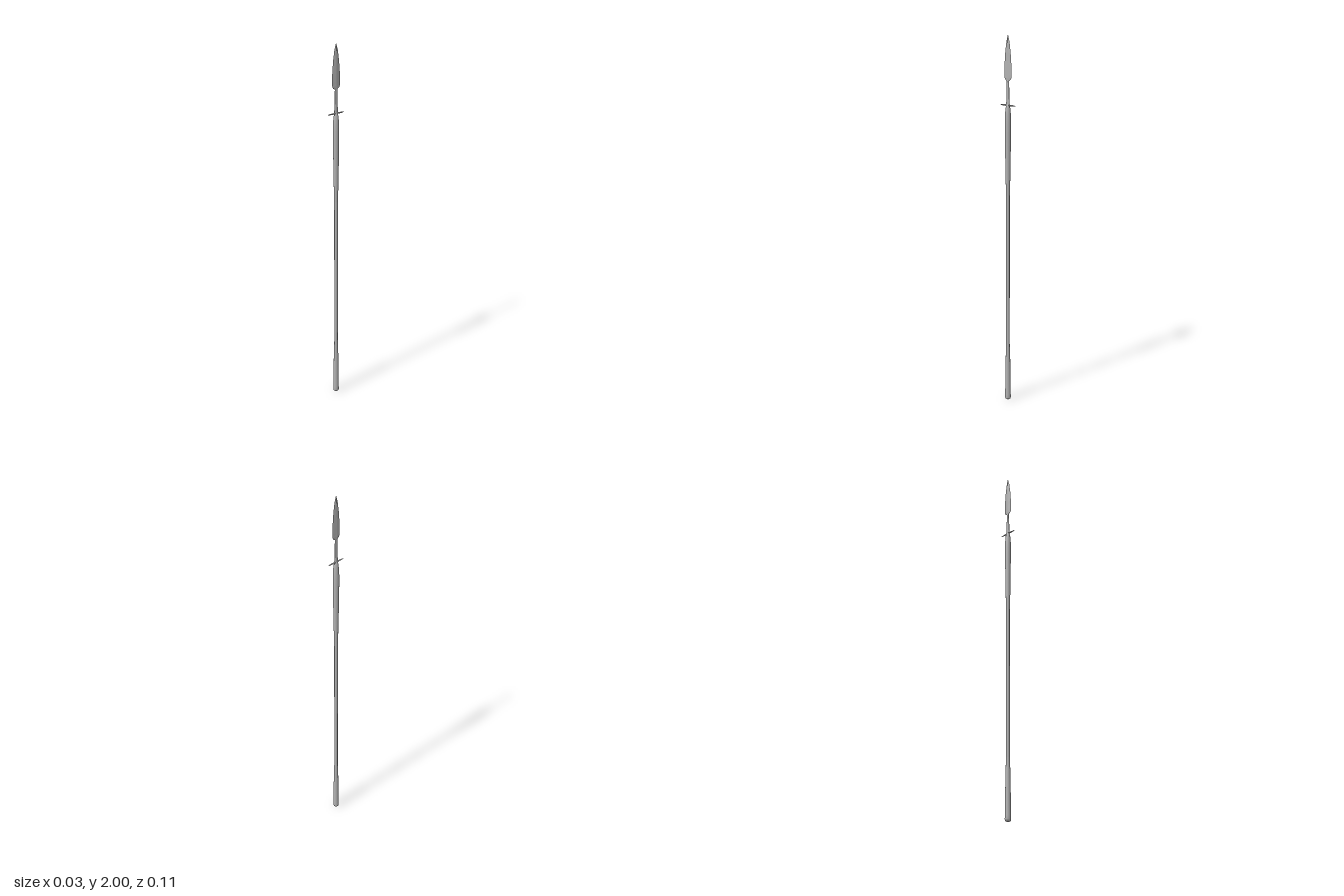
import * as THREE from 'three';

const material = new THREE.MeshStandardMaterial({ color: 0xb2b2b2 });
const flatMaterial = new THREE.MeshStandardMaterial({ color: 0xb2b2b2, flatShading: true });

// Turned part from [radius, y] pairs
function turned(name, profile, sides = 16) {
  const points = profile.map(([r, y]) => new THREE.Vector2(r, y));
  const mesh = new THREE.Mesh(new THREE.LatheGeometry(points, sides), material);
  mesh.name = name;
  return mesh;
}

// Four-sided diamond section lofted along y from [halfX, halfZ, y] rows
function diamondLoft(name, rows) {
  const positions = [];
  const index = [];
  rows.forEach(([hx, hz, y]) => positions.push(hx, y, 0, 0, y, hz, -hx, y, 0, 0, y, -hz));
  for (let i = 0; i < rows.length - 1; i++) {
    for (let j = 0; j < 4; j++) {
      const a = i * 4 + j, b = i * 4 + ((j + 1) % 4);
      index.push(a, a + 4, b, b, a + 4, b + 4);
    }
  }
  const geometry = new THREE.BufferGeometry();
  geometry.setAttribute('position', new THREE.Float32BufferAttribute(positions, 3));
  geometry.setIndex(index);
  geometry.computeVertexNormals();
  const mesh = new THREE.Mesh(geometry, flatMaterial);
  mesh.name = name;
  return mesh;
}

export function createModel() {
  const spear = new THREE.Group();
  spear.name = 'spear';

  // Wooden pole
  spear.add(turned('shaft', [[0.0098, 0.3], [0.0098, 1.2]]));

  // Weighted foot that tapers into the pole
  spear.add(turned('buttCap', [
    [0, 0], [0.008, 0.001], [0.0135, 0.005], [0.016, 0.012],
    [0.0155, 0.03], [0.0145, 0.1], [0.0127, 0.24], [0.0098, 0.33],
  ]));

  // Swelling upper sleeve that closes around the neck
  spear.add(turned('sleeve', [
    [0.0098, 1.16], [0.0127, 1.26], [0.0147, 1.4], [0.0162, 1.5],
    [0.0165, 1.55], [0.0155, 1.59], [0.0125, 1.625], [0.009, 1.64], [0.005, 1.65], [0, 1.652],
  ]));

  // Flattened neck carrying the blade
  const neck = turned('neck', [[0.013, 1.61], [0.011, 1.65], [0.0085, 1.72], [0.007, 1.79], [0, 1.8]], 12);
  neck.scale.x = 0.55;
  spear.add(neck);

  // Leaf-shaped blade lying in the yz plane
  spear.add(diamondLoft('blade', [
    [0.003, 0.006, 1.765], [0.0045, 0.018, 1.772], [0.005, 0.024, 1.782], [0.005, 0.026, 1.803],
    [0.005, 0.024, 1.85], [0.0045, 0.019, 1.91], [0.0035, 0.011, 1.965], [0.0012, 0.001, 2],
  ]));

  // Pointed crossbar
  const crossbar = diamondLoft('crossbar', [
    [0.001, 0.001, -0.053], [0.0045, 0.0035, -0.035], [0.007, 0.0045, 0],
    [0.0045, 0.0035, 0.035], [0.001, 0.001, 0.053],
  ]);
  crossbar.rotation.x = Math.PI / 2;
  crossbar.position.y = 1.641;
  spear.add(crossbar);

  return spear;
}
